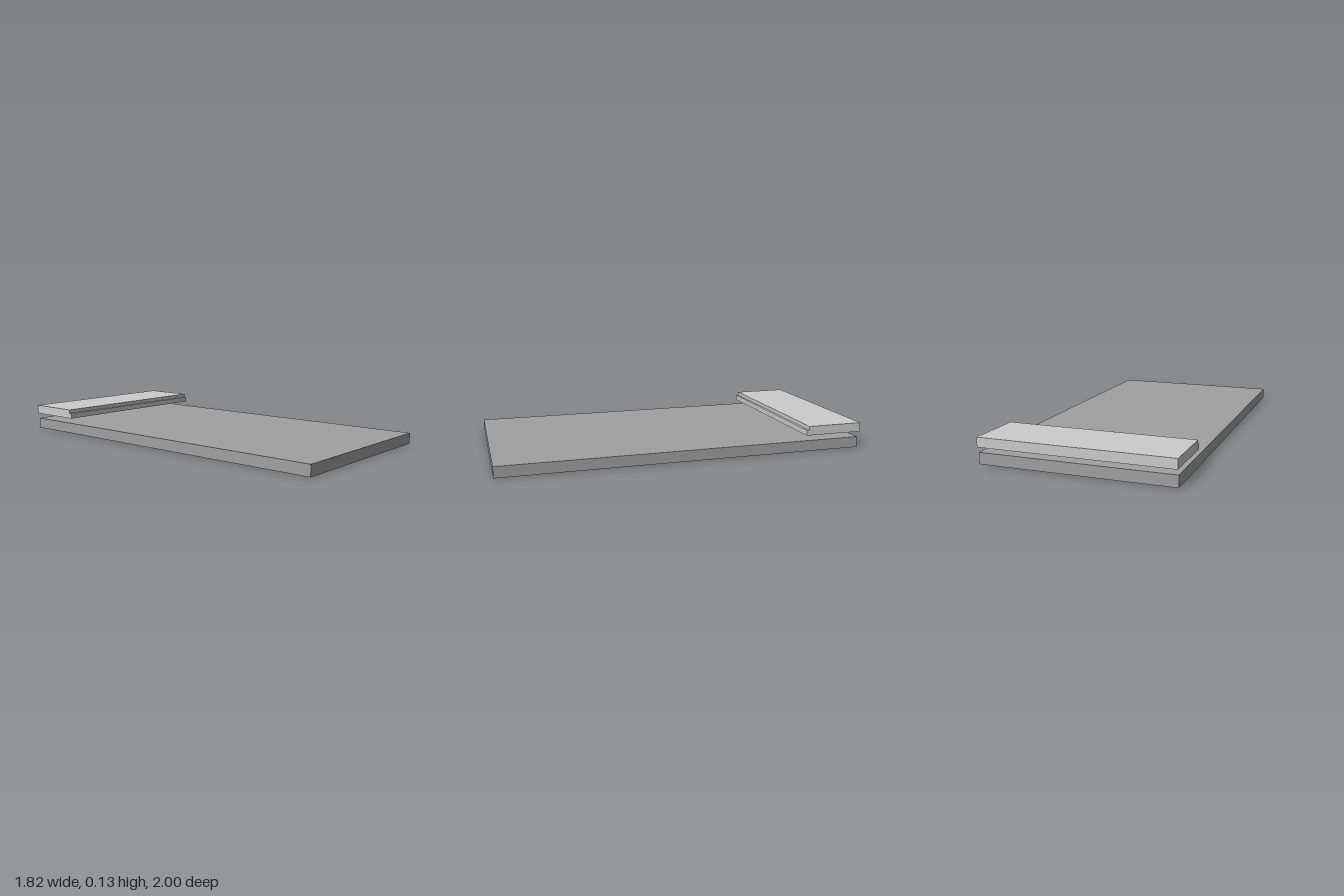
import * as THREE from 'three';

const WIDTH = 0.914;
const BACK = -0.907;
const FRONT = 0.907;

// Extrudes a (z, y) side profile across the full width.
function slab(name, profile, color) {
  const shape = new THREE.Shape(profile.map(([z, y]) => new THREE.Vector2(z, y)));
  const geometry = new THREE.ExtrudeGeometry(shape, { depth: WIDTH, bevelEnabled: false });
  geometry.translate(0, 0, -WIDTH / 2).rotateY(-Math.PI / 2);
  const mesh = new THREE.Mesh(geometry, new THREE.MeshStandardMaterial({ color, flatShading: true }));
  mesh.name = name;
  return mesh;
}

export function createModel() {
  const model = new THREE.Group();
  model.name = 'steppedPlatform';

  // Long flat base, its back edge just short of the step's
  model.add(slab('baseSlab', [
    [BACK + 0.012, 0], [FRONT, 0], [FRONT, 0.054], [BACK + 0.012, 0.054],
  ], 0xa0a0a0));

  // Raised step above the back end, with a narrow ledge along its front edge
  model.add(slab('upperStep', [
    [BACK, 0.08], [-0.61, 0.08], [-0.61, 0.107],
    [-0.623, 0.107], [-0.623, 0.126], [BACK, 0.126],
  ], 0xcccccc));

  // The whole platform stands turned about the vertical axis
  model.rotation.y = 0.645;
  return model;
}
